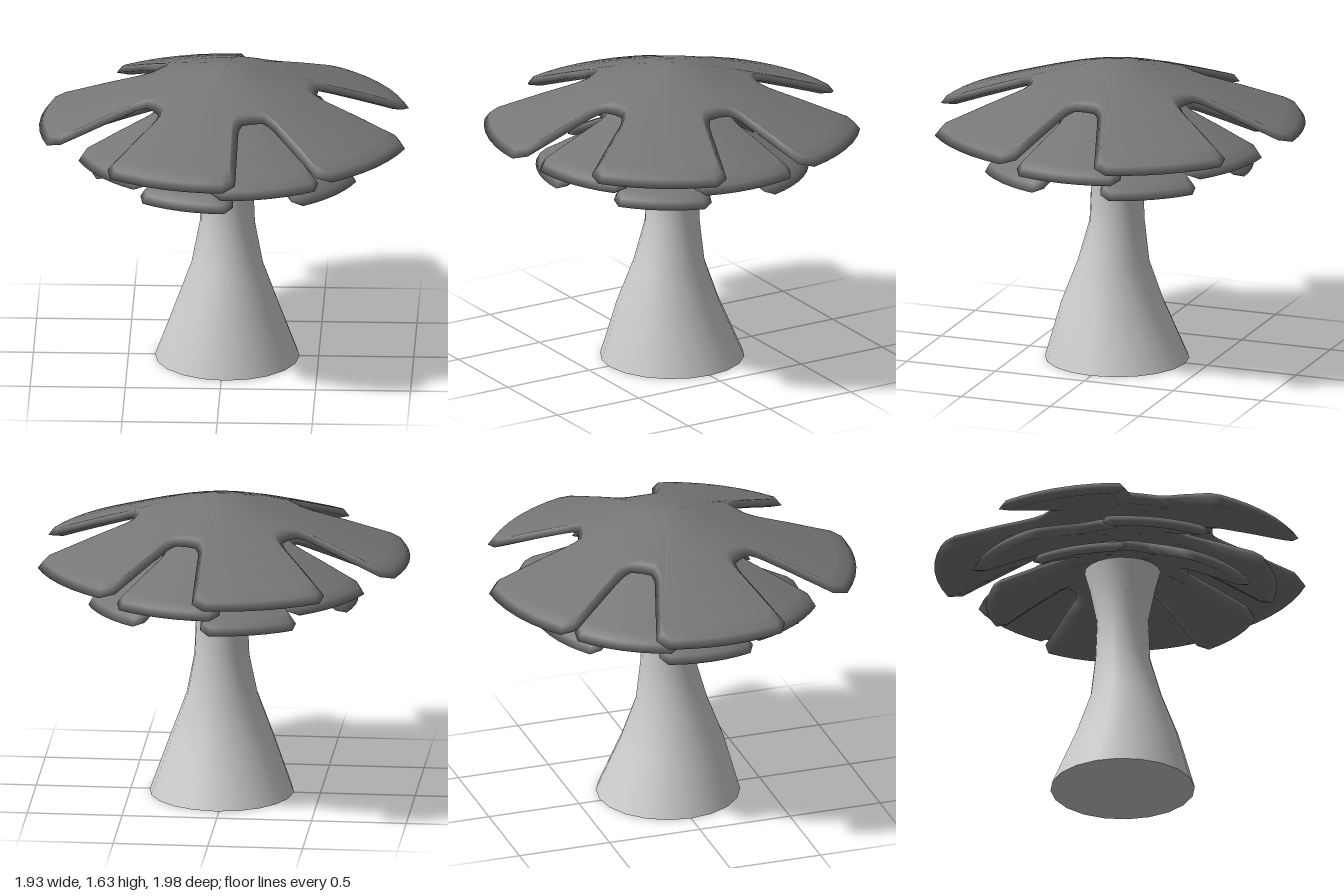
import * as THREE from 'three';
import { toCreasedNormals } from 'three/addons/utils/BufferGeometryUtils.js';

const AXIS_X = 0.02;
const LOBES = 5;
const THICKNESS = 0.058;

// Height of the cap's upper surface at a given radius
const SLOPE = [[0, 0.35], [0.2, 0.298], [0.43, 0.23], [0.66, 0.152], [0.945, 0.048], [1.1, -0.01]];
function capHeight(r) {
  let i = 1;
  while (i < SLOPE.length - 1 && r > SLOPE[i][0]) i++;
  const [r0, y0] = SLOPE[i - 1], [r1, y1] = SLOPE[i];
  return y0 + (y1 - y0) * (r - r0) / (r1 - r0);
}

// Half of one notch and lobe: angle in degrees from the notch centre, radius
const HALF = [[0, 0.472], [6.8, 0.48], [9.2, 0.515], [10.3, 0.56], [11.8, 0.69],
  [12.8, 0.81], [13.6, 0.936], [17.5, 0.99], [23.5, 0.99], [29.5, 0.99], [36, 0.99]];

// Closed five-lobed outline, counter-clockwise
function lobedOutline() {
  const mirrored = HALF.slice(1, -1).reverse().map(([a, r]) => [72 - a, r]);
  const pts = [];
  for (let k = 0; k < LOBES; k++) {
    for (const [a, r] of [...HALF, ...mirrored]) {
      const t = THREE.MathUtils.degToRad(a + k * 72);
      pts.push(new THREE.Vector2(r * Math.cos(t), r * Math.sin(t)));
    }
  }
  return pts;
}

// Move an outline inward along its normals
function inset(pts, d) {
  const n = pts.length;
  return pts.map((p, i) => {
    const a = p.clone().sub(pts[(i + n - 1) % n]).normalize();
    const b = pts[(i + 1) % n].clone().sub(p).normalize();
    const t = a.add(b).normalize();
    return new THREE.Vector2(p.x - t.y * d, p.y + t.x * d);
  });
}

// Lobed conical shell: upper surface, bevelled rim and underside
function capGeometry(scale) {
  const rim = lobedOutline();
  const upper = inset(rim, 0.03), lower = inset(rim, 0.07);
  const n = rim.length;
  const steps = [0.2, 0.4, 0.6, 0.8, 0.92, 1];
  const rings = [
    ...steps.map(t => [upper, t, 0]),
    [rim, 1, 0.03],
    ...steps.slice().reverse().map(t => [lower, t, THICKNESS]),
  ];
  const pos = [0, capHeight(0), 0];
  for (const [pts, t, drop] of rings) {
    for (const p of pts) {
      pos.push(p.x * t * scale, capHeight(p.length() * t) - drop, -p.y * t * scale);
    }
  }
  pos.push(0, capHeight(0) - THICKNESS, 0);
  const end = pos.length / 3 - 1;
  const idx = [];
  for (let j = 0; j < n; j++) {
    const k = (j + 1) % n;
    idx.push(0, 1 + j, 1 + k);
    for (let i = 0; i < rings.length - 1; i++) {
      const a = 1 + i * n, b = a + n;
      idx.push(a + j, b + j, b + k, a + j, b + k, a + k);
    }
    const last = 1 + (rings.length - 1) * n;
    idx.push(last + j, end, last + k);
  }
  const geo = new THREE.BufferGeometry();
  geo.setAttribute('position', new THREE.Float32BufferAttribute(pos, 3));
  geo.setIndex(idx);
  geo.computeVertexNormals();
  return geo;
}

// Flared trunk with a slight bow near its foot
function trunkGeometry() {
  const profile = [[0, 0], [0.38, 0], [0.272, 0.3], [0.188, 0.53], [0.145, 0.75],
    [0.136, 0.97], [0.172, 1.15], [0.2, 1.25], [0, 1.27]];
  const geo = new THREE.LatheGeometry(profile.map(([r, y]) => new THREE.Vector2(r, y)), 20);
  const p = geo.attributes.position;
  for (let i = 0; i < p.count; i++) {
    const y = p.getY(i);
    if (y < 0.75) p.setZ(i, p.getZ(i) + 0.025 * Math.sin(Math.PI * y / 0.75));
  }
  return toCreasedNormals(geo, 0.8);
}

export function createModel() {
  const model = new THREE.Group();
  model.name = 'layeredTree';

  const bark = new THREE.MeshStandardMaterial({ color: 0xcccccc });
  const leaf = new THREE.MeshStandardMaterial({ color: 0x777777 });

  const trunk = new THREE.Mesh(trunkGeometry(), bark);
  trunk.name = 'trunk';
  trunk.position.x = AXIS_X;
  model.add(trunk);

  // Stacked caps, the middle one turned so its lobes fill the notches
  const tiers = [
    ['topCanopy', 1, 1.285, 0],
    ['middleCanopy', 0.82, 1.175, Math.PI],
    ['bottomCanopy', 0.725, 1.065, 0],
  ];
  for (const [name, scale, y, turn] of tiers) {
    const cap = new THREE.Mesh(capGeometry(scale), leaf);
    cap.name = name;
    cap.position.set(AXIS_X, y, 0);
    cap.rotation.y = turn;
    model.add(cap);
  }
  return model;
}
